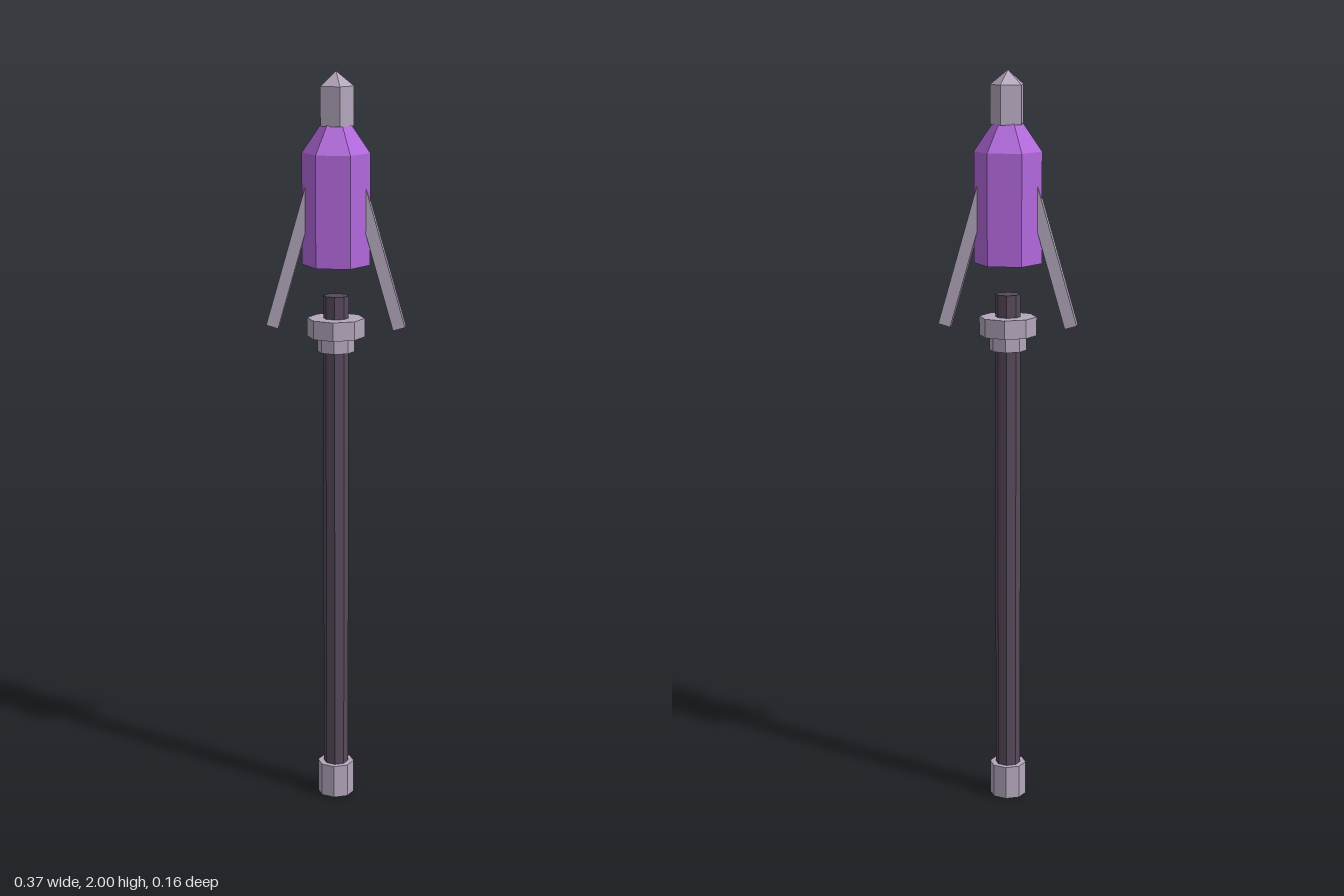
import * as THREE from 'three';

const flat = (name, color) => {
  const m = new THREE.MeshStandardMaterial({ color, flatShading: true });
  m.name = name;
  return m;
};

export function createModel() {
  const metal = flat('pale metal', 0xb3a6bc);
  const dark = flat('dark shaft', 0x57495b);
  const purple = flat('purple crystal', 0xb268dc);
  const group = new THREE.Group();
  group.name = 'staff';

  // Faceted upright section between two heights
  const prism = (name, material, y0, y1, r0, r1, sides, open = false, turn = 0) => {
    const geo = new THREE.CylinderGeometry(r1, r0, y1 - y0, sides, 1, open);
    geo.rotateY(turn);
    const mesh = new THREE.Mesh(geo, material);
    mesh.name = name;
    mesh.position.y = (y0 + y1) / 2;
    group.add(mesh);
  };

  // Shaft with its foot and collar
  prism('shaft', dark, 0, 1.415, 0.034, 0.034, 8);
  prism('foot', metal, 0.003, 0.095, 0.05, 0.05, 8);
  prism('lowerCollar', metal, 1.265, 1.31, 0.05, 0.05, 8);
  prism('upperCollar', metal, 1.305, 1.355, 0.077, 0.077, 8);

  // Floating six-sided crystal with a sloped shoulder
  const q = Math.PI / 2;
  prism('crystalBody', purple, 1.497, 1.79, 0.09, 0.09, 6, false, q);
  prism('crystalShoulder', purple, 1.79, 1.863, 0.09, 0.04, 6, false, q);

  // Five-sided pointed tip
  prism('tipBase', metal, 1.86, 1.962, 0.047, 0.047, 5, false, q);
  prism('tipPoint', metal, 1.962, 2, 0.047, 0, 5, true, q);

  // Splayed prongs, mirrored
  const prongGeo = new THREE.BoxGeometry(0.033, 0.38, 0.035);
  for (const side of [1, -1]) {
    const prong = new THREE.Mesh(prongGeo, metal);
    prong.name = side > 0 ? 'leftProng' : 'rightProng';
    prong.position.set(side * 0.1166, 1.513, 0);
    prong.rotation.z = side * THREE.MathUtils.degToRad(16);
    group.add(prong);
  }
  return group;
}
